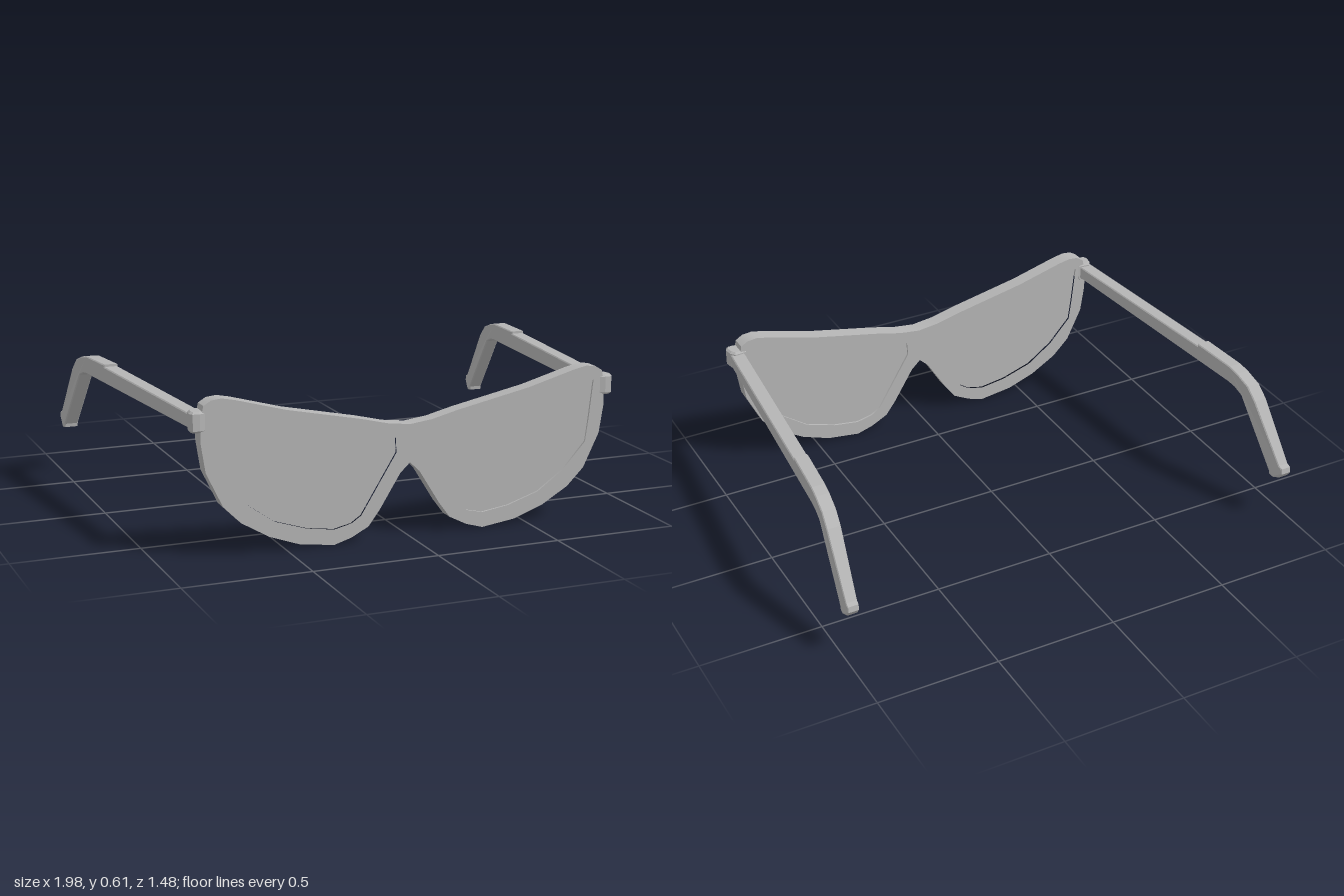
import * as THREE from 'three';
import { toCreasedNormals } from 'three/addons/utils/BufferGeometryUtils.js';

const v = ([x, y]) => new THREE.Vector2(x, y);
const mirror = (pts) => pts.map(([x, y]) => [-x, y]);

// Right half of the frame front, from the top of the bridge round to its underside
const FRAME = [
  [0, 0.445], [0.09, 0.456], [0.2, 0.483], [0.5, 0.545], [0.7, 0.6], [0.75, 0.61], [0.79, 0.606],
  [0.82, 0.588], [0.831, 0.54], [0.833, 0.45], [0.815, 0.335], [0.75, 0.2], [0.68, 0.13],
  [0.57, 0.065], [0.45, 0.022], [0.31, 0.003], [0.24, 0.024], [0.17, 0.06], [0.125, 0.12],
  [0.04, 0.257], [0, 0.295],
];

const LENS = [
  [0.06, 0.398], [0.056, 0.34], [0.2, 0.107], [0.24, 0.08], [0.31, 0.064], [0.42, 0.08], [0.55, 0.122],
  [0.66, 0.2], [0.755, 0.305], [0.768, 0.4], [0.785, 0.552], [0.64, 0.515], [0.4, 0.46], [0.2, 0.415],
];

// Side profile of a temple arm as [-z, y]
const ARM = [
  [-0.7, 0.555], [0.17, 0.56], [0.17, 0.57], [0.38, 0.565], [0.43, 0.555], [0.5, 0.53], [0.55, 0.484],
  [0.72, 0.262], [0.738, 0.255], [0.742, 0.232], [0.725, 0.208], [0.695, 0.196], [0.67, 0.2],
  [0.668, 0.215], [0.465, 0.47], [0.42, 0.487], [0.38, 0.492], [-0.7, 0.5],
];

function extrude(shape, depth, bevel = 0) {
  return new THREE.ExtrudeGeometry(shape, {
    depth: depth - 2 * bevel, bevelEnabled: bevel > 0, bevelThickness: bevel,
    bevelSize: bevel, bevelOffset: -bevel, bevelSegments: 1,
  }).translate(0, 0, bevel);
}

export function createModel() {
  const group = new THREE.Group();
  const gray = new THREE.MeshStandardMaterial({ color: 0xb4b4b4 });
  gray.name = 'gray plastic';

  const add = (name, geometry) => {
    const mesh = new THREE.Mesh(geometry, gray);
    mesh.name = name;
    group.add(mesh);
    return mesh;
  };

  // Frame front with two lens openings
  const outline = [...FRAME, ...mirror(FRAME.slice(1, -1)).reverse()];
  const frame = new THREE.Shape(outline.map(v));
  for (const pts of [LENS, mirror(LENS)]) frame.holes.push(new THREE.Path(pts.map(v)));
  add('frameFront', toCreasedNormals(extrude(frame, 0.062).translate(0, 0, 0.672), 0.6));

  for (const side of [1, -1]) {
    const label = side > 0 ? 'left' : 'right';

    // Lens set just behind the rim faces
    const lens = new THREE.Shape((side > 0 ? LENS : mirror(LENS)).map(v));
    add(label + 'Lens', extrude(lens, 0.046).translate(0, 0, 0.68));

    // Hinge block with clipped outer corners
    const hinge = new THREE.Shape([
      [0.8, -0.67], [0.85, -0.665], [0.866, -0.685], [0.872, -0.72], [0.862, -0.738], [0.835, -0.74], [0.8, -0.73],
    ].map(([x, y]) => new THREE.Vector2(side * x, y)));
    add(label + 'Hinge', extrude(hinge, 0.08, 0.008).rotateX(-Math.PI / 2).translate(0, 0.488, 0));

    // Temple arm, sheared so that it splays outward toward the ear
    const arm = extrude(new THREE.Shape(ARM.map(v)), 0.058, 0.004)
      .translate(0, 0, -0.029).rotateY(Math.PI / 2);
    const p = arm.attributes.position;
    for (let i = 0; i < p.count; i++) {
      const z = p.getZ(i);
      const taper = z < -0.715 ? 0.8 : 1;
      p.setX(i, p.getX(i) * taper + side * (0.899 - 0.0917 * z));
    }
    arm.computeVertexNormals();
    add(label + 'Temple', arm);
  }
  return group;
}
